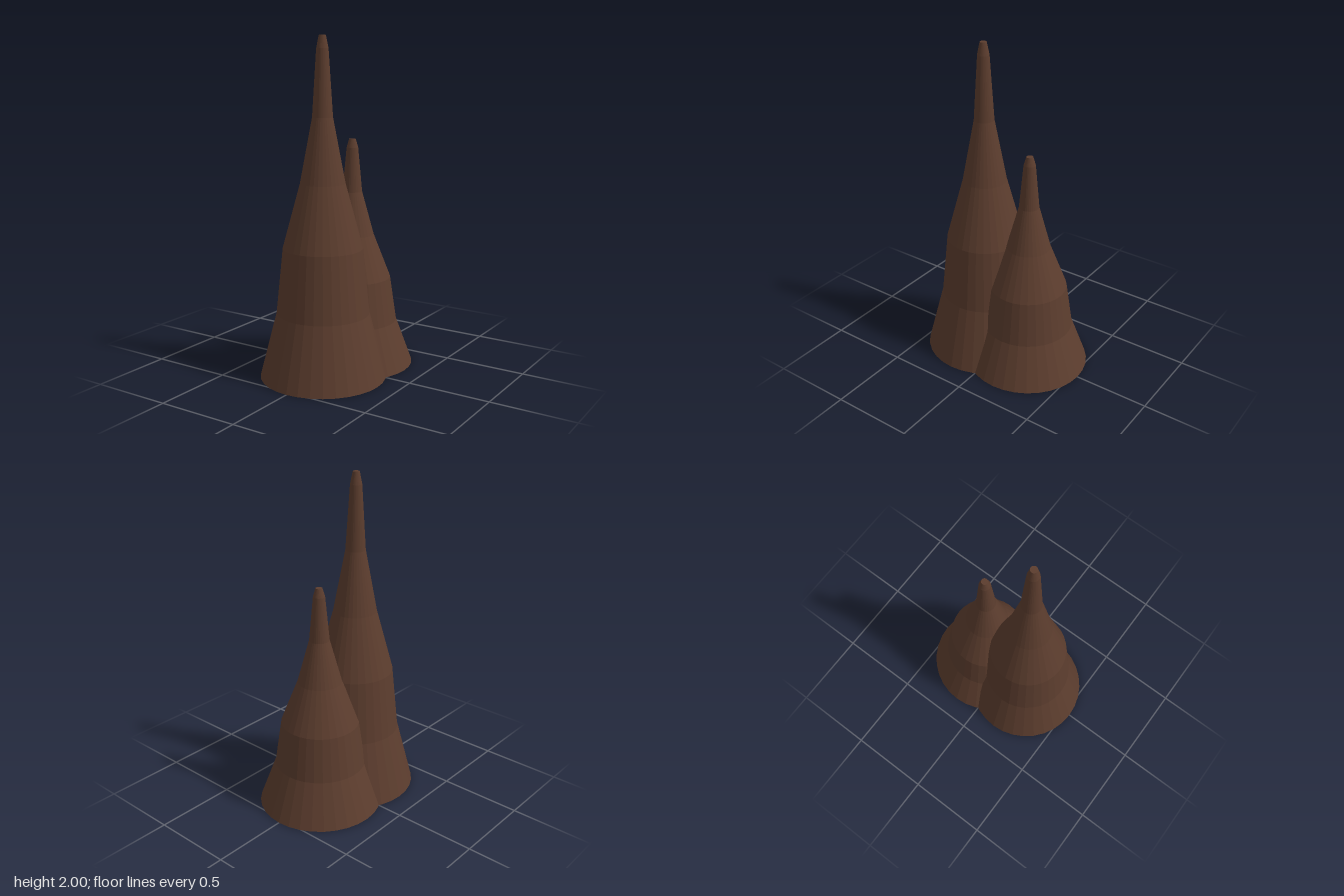
import * as THREE from 'three';

// radius and height fraction from the base up to the blunt tip
const PROFILE = [
  [0, 0], [0.375, 0], [0.275, 0.195], [0.235, 0.39], [0.132, 0.58],
  [0.06, 0.77], [0.035, 0.963], [0.02, 1], [0, 1],
];

export function createModel() {
  const group = new THREE.Group();
  group.name = 'rockSpires';

  const rock = new THREE.MeshStandardMaterial({ color: 0x5c3d2e, flatShading: true });
  rock.name = 'brown rock';

  // one tapering spire with a closed base
  const addSpire = (name, height, z) => {
    const points = PROFILE.map(([r, t]) => new THREE.Vector2(r, t * height));
    const spire = new THREE.Mesh(new THREE.LatheGeometry(points, 32), rock);
    spire.name = name;
    spire.position.z = z;
    group.add(spire);
  };

  addSpire('tallSpire', 2, 0.16);
  addSpire('shortSpire', 1.39, -0.16);

  return group;
}
